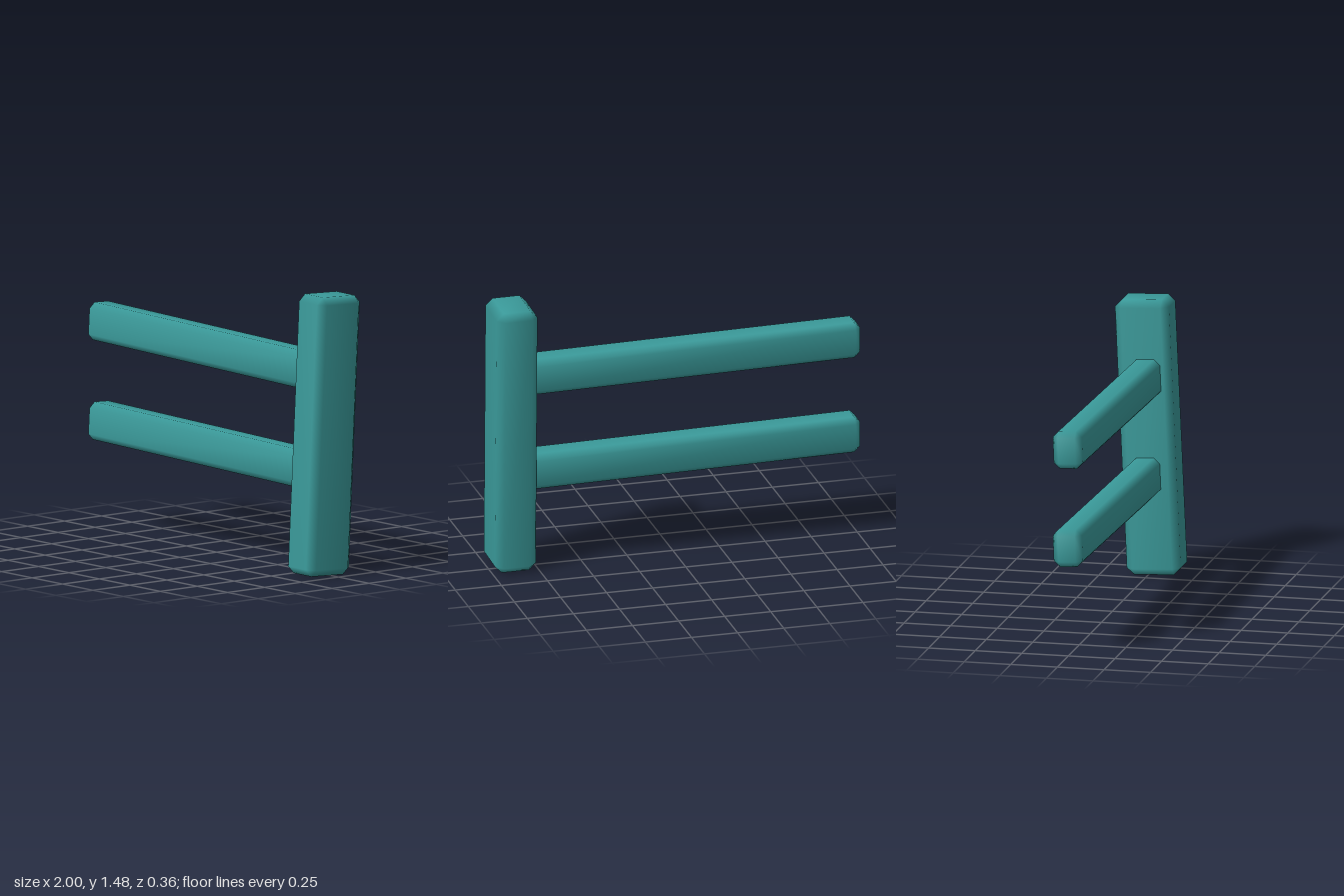
import * as THREE from 'three';
import { ConvexGeometry } from 'three/addons/geometries/ConvexGeometry.js';
import { mergeVertices } from 'three/addons/utils/BufferGeometryUtils.js';

// Box with one chamfer on every edge (three points per corner), smooth-shaded
function chamferBox(w, h, d, c) {
  const points = [];
  for (const sx of [-1, 1]) for (const sy of [-1, 1]) for (const sz of [-1, 1]) {
    const x = w / 2, y = h / 2, z = d / 2;
    points.push(
      new THREE.Vector3(sx * x, sy * (y - c), sz * (z - c)),
      new THREE.Vector3(sx * (x - c), sy * y, sz * (z - c)),
      new THREE.Vector3(sx * (x - c), sy * (y - c), sz * z)
    );
  }
  const hull = new ConvexGeometry(points);
  hull.deleteAttribute('normal');
  const geometry = mergeVertices(hull, 1e-4);
  geometry.computeVertexNormals();
  return geometry;
}

export function createModel() {
  const group = new THREE.Group();
  group.name = 'fenceSection';
  const paint = new THREE.MeshStandardMaterial({ color: 0x3a9a9a });

  // Upright post, leaning slightly backwards
  const post = new THREE.Mesh(chamferBox(0.222, 1.475, 0.29, 0.038), paint);
  post.name = 'post';
  post.position.set(0.88, 0.742, 0);
  post.rotation.set(-0.047, 0, -0.007);
  group.add(post);

  // Two rails sloping gently down into the post
  const railGeometry = chamferBox(1.88, 0.2, 0.156, 0.032);
  [['upperRail', 1.083], ['lowerRail', 0.555]].forEach(([name, y]) => {
    const rail = new THREE.Mesh(railGeometry, paint);
    rail.name = name;
    rail.position.set(-0.06, y, -0.006);
    rail.rotation.set(-0.045, -0.004, -0.018);
    group.add(rail);
  });

  return group;
}
